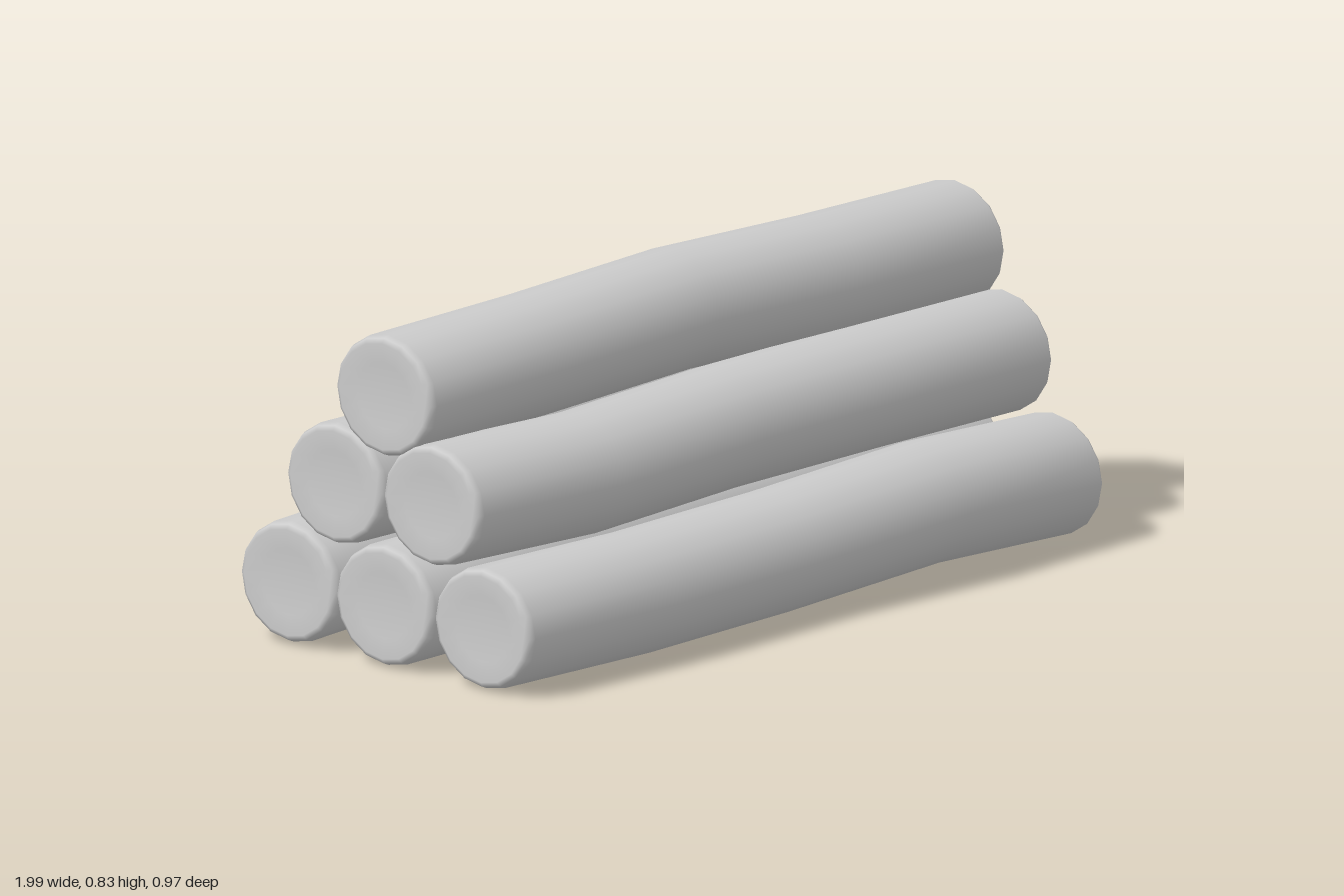
import * as THREE from 'three';
import { mergeVertices } from 'three/addons/utils/BufferGeometryUtils.js';

const RY = 0.147, RZ = 0.157;

// Half profile of a log: radius (relative) against position along its length
const PROFILE = [
  [0, -0.992], [0.55, -0.994], [0.88, -1], [0.96, -0.993], [1, -0.978],
  [1, -0.5], [1, 0], [1, 0.5],
  [1, 0.978], [0.96, 0.987], [0.88, 0.994], [0.55, 0.99], [0, 0.988],
].map(([r, x]) => new THREE.Vector2(r, x));

// Centre of each log at its ends, and its [y, z] bend at x = -0.5, 0 and 0.5
const LOGS = [
  { name: 'bottomFrontLog', y: 0.15, z: 0.307, bend: [[-0.003, 0.018], [-0.003, 0], [0.024, 0.02]] },
  { name: 'bottomMiddleLog', y: 0.15, z: -0.01, bend: [[0.003, 0], [0.007, 0], [0.002, 0]] },
  { name: 'bottomBackLog', y: 0.152, z: -0.317, bend: [[0.016, -0.013], [0.006, -0.008], [0.002, -0.003]] },
  { name: 'middleFrontLog', y: 0.421, z: 0.143, bend: [[-0.014, 0.008], [0, -0.002], [0.002, -0.002]] },
  { name: 'middleBackLog', y: 0.419, z: -0.168, bend: [[-0.007, -0.007], [0, -0.002], [0, 0]] },
  { name: 'topLog', y: 0.66, z: -0.01, bend: [[0.006, 0], [0.022, 0], [0.006, 0]] },
];

// Log lying along x, slightly flattened, its rings shifted by the bend
function logGeometry(bend) {
  let g = new THREE.LatheGeometry(PROFILE, 16);
  g.rotateZ(-Math.PI / 2);
  g.scale(1, RY, RZ);
  const p = g.attributes.position;
  for (let i = 0; i < p.count; i++) {
    const shift = bend[Math.round(p.getX(i) * 2) + 1];
    if (shift) {
      p.setY(i, p.getY(i) + shift[0]);
      p.setZ(i, p.getZ(i) + shift[1]);
    }
  }
  g.deleteAttribute('uv');
  g.deleteAttribute('normal');
  g = mergeVertices(g, 1e-5);
  g.computeVertexNormals();
  return g;
}

export function createModel() {
  const group = new THREE.Group();
  group.name = 'logPile';
  const material = new THREE.MeshStandardMaterial({ color: 0xcccccc });
  for (const { name, y, z, bend } of LOGS) {
    const log = new THREE.Mesh(logGeometry(bend), material);
    log.name = name;
    log.position.set(0, y, z);
    group.add(log);
  }
  return group;
}
